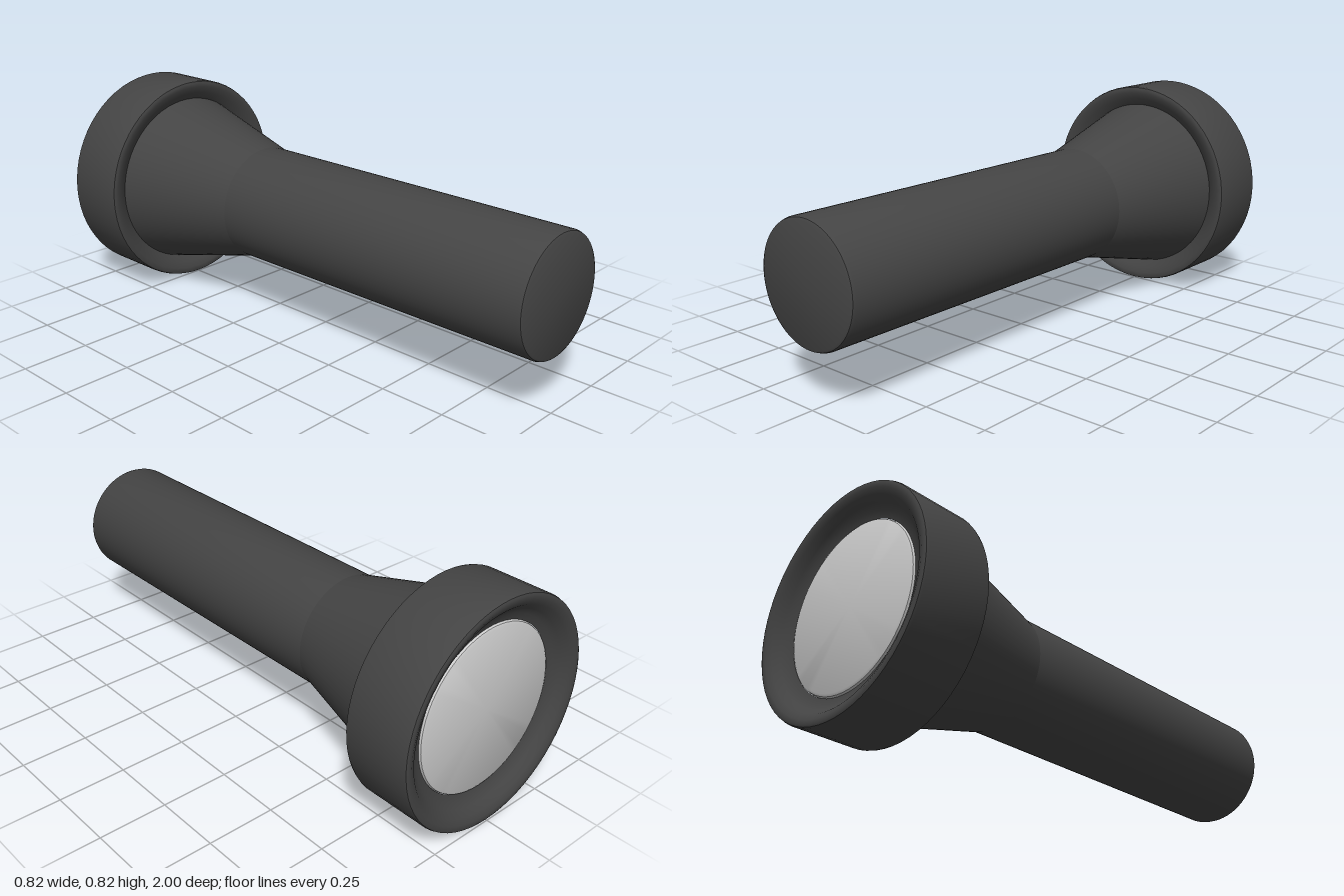
import * as THREE from 'three';
import { toCreasedNormals } from 'three/addons/utils/BufferGeometryUtils.js';

const AXIS_HEIGHT = 0.413;
const SEGMENTS = 64;

// Turn a [radius, z] profile, listed from back to front, around the z axis
function turned(name, profile, material) {
  const points = profile.map(([r, z]) => new THREE.Vector2(r, z));
  const geometry = new THREE.LatheGeometry(points, SEGMENTS).rotateX(Math.PI / 2);
  const mesh = new THREE.Mesh(toCreasedNormals(geometry, 0.6), material);
  mesh.name = name;
  return mesh;
}

export function createModel() {
  const model = new THREE.Group();
  model.name = 'flashlight';
  const dark = new THREE.MeshStandardMaterial({ color: 0x444444 });
  const glass = new THREE.MeshStandardMaterial({ color: 0xcccccc });

  // Straight handle with a softly bevelled end cap
  const handle = turned('handle', [
    [0.216, -0.32], [0.216, 0.985], [0.212, 0.996], [0.204, 1], [0, 1],
  ], dark);

  // Cone widening from the handle into the head
  const neck = turned('neck', [[0.335, -0.785], [0.216, -0.32]], dark);

  // Thick head ring, slightly dished on both faces
  const head = turned('head', [
    [0.3, -0.945], [0.325, -0.952], [0.345, -0.968], [0.365, -0.988], [0.385, -0.998],
    [0.4, -1], [0.407, -0.997], [0.41, -0.988],
    [0.41, -0.757], [0.407, -0.748], [0.4, -0.745],
    [0.385, -0.747], [0.36, -0.757], [0.333, -0.778],
  ], dark);

  // Flat lens with a tiny bevelled edge, set back inside the head
  const lens = turned('lens', [
    [0, -0.955], [0.288, -0.955], [0.296, -0.951], [0.3, -0.94],
  ], glass);

  model.add(handle, neck, head, lens);
  model.children.forEach((part) => { part.position.y = AXIS_HEIGHT; });
  return model;
}
